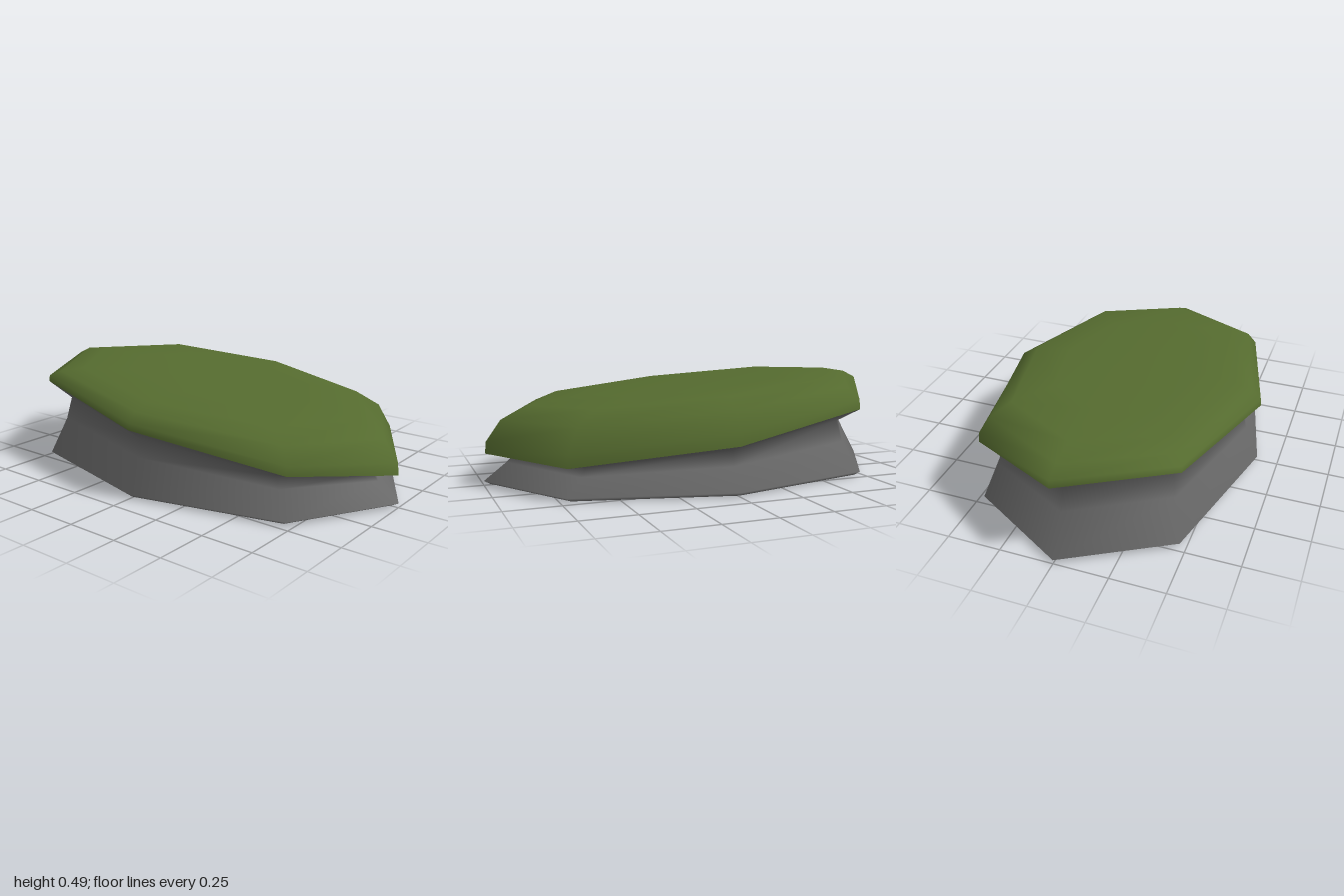
import * as THREE from 'three';

const SIDES = 8, RX = 0.647, RZ = 0.995;

// Stack of tilted octagonal rings, listed bottom to top: [scale, centre height, x slope, z slope].
// An optional height closes the last ring with a centre point.
function loft(rings, tipHeight) {
  const pos = [], idx = [];
  for (const [s, y, sx, sz] of rings) {
    for (let i = 0; i < SIDES; i++) {
      const a = (i / SIDES) * Math.PI * 2;
      const r = i % 2 ? s * 1.025 : s;
      const x = Math.sin(a) * RX * r, z = Math.cos(a) * RZ * r;
      pos.push(x, y + sx * x + sz * z, z);
    }
  }
  for (let k = 0; k < rings.length - 1; k++) {
    for (let i = 0; i < SIDES; i++) {
      const j = (i + 1) % SIDES;
      const a = k * SIDES + i, b = k * SIDES + j, c = a + SIDES, d = b + SIDES;
      idx.push(a, b, d, a, d, c);
    }
  }
  if (tipHeight !== undefined) {
    const base = (rings.length - 1) * SIDES, tip = pos.length / 3;
    pos.push(0, tipHeight, 0);
    for (let i = 0; i < SIDES; i++) idx.push(base + i, base + (i + 1) % SIDES, tip);
  }
  const g = new THREE.BufferGeometry();
  g.setAttribute('position', new THREE.Float32BufferAttribute(pos, 3));
  g.setIndex(idx);
  g.computeVertexNormals();
  return g;
}

export function createModel() {
  const group = new THREE.Group();
  group.name = 'mossyRock';
  const stone = new THREE.MeshStandardMaterial({ color: 0x696969 });
  const grass = new THREE.MeshStandardMaterial({ color: 0x556b2f });
  const add = (name, geometry, material) => {
    const mesh = new THREE.Mesh(geometry, material);
    mesh.name = name;
    group.add(mesh);
  };

  const foot = [0.975, 0.004, 0, 0];
  const rim = [0.995, 0.272, -0.077, -0.125];

  // Stone body: wide foot, narrow waist, flaring out under the grass
  add('stoneBody', loft([
    foot,
    [1.005, 0.02, 0, 0],
    [0.9, 0.15, -0.045, -0.055],
    [0.865, 0.225, -0.06, -0.105],
    rim,
  ]), stone);

  // Flat underside: collapse inward from the foot, facing down
  const under = loft([foot], 0);
  const order = under.index.array;
  for (let i = 0; i < order.length; i += 3) [order[i], order[i + 1]] = [order[i + 1], order[i]];
  under.computeVertexNormals();
  add('underside', under, stone);

  // Grass cap: short upright rim, rounded shoulder, gently domed top
  add('grassCap', loft([
    rim,
    [0.99, 0.317, -0.058, -0.116],
    [0.92, 0.383, -0.021, -0.09],
    [0.79, 0.424, 0, -0.079],
    [0.52, 0.439, 0, -0.074],
  ], 0.444), grass);

  return group;
}
